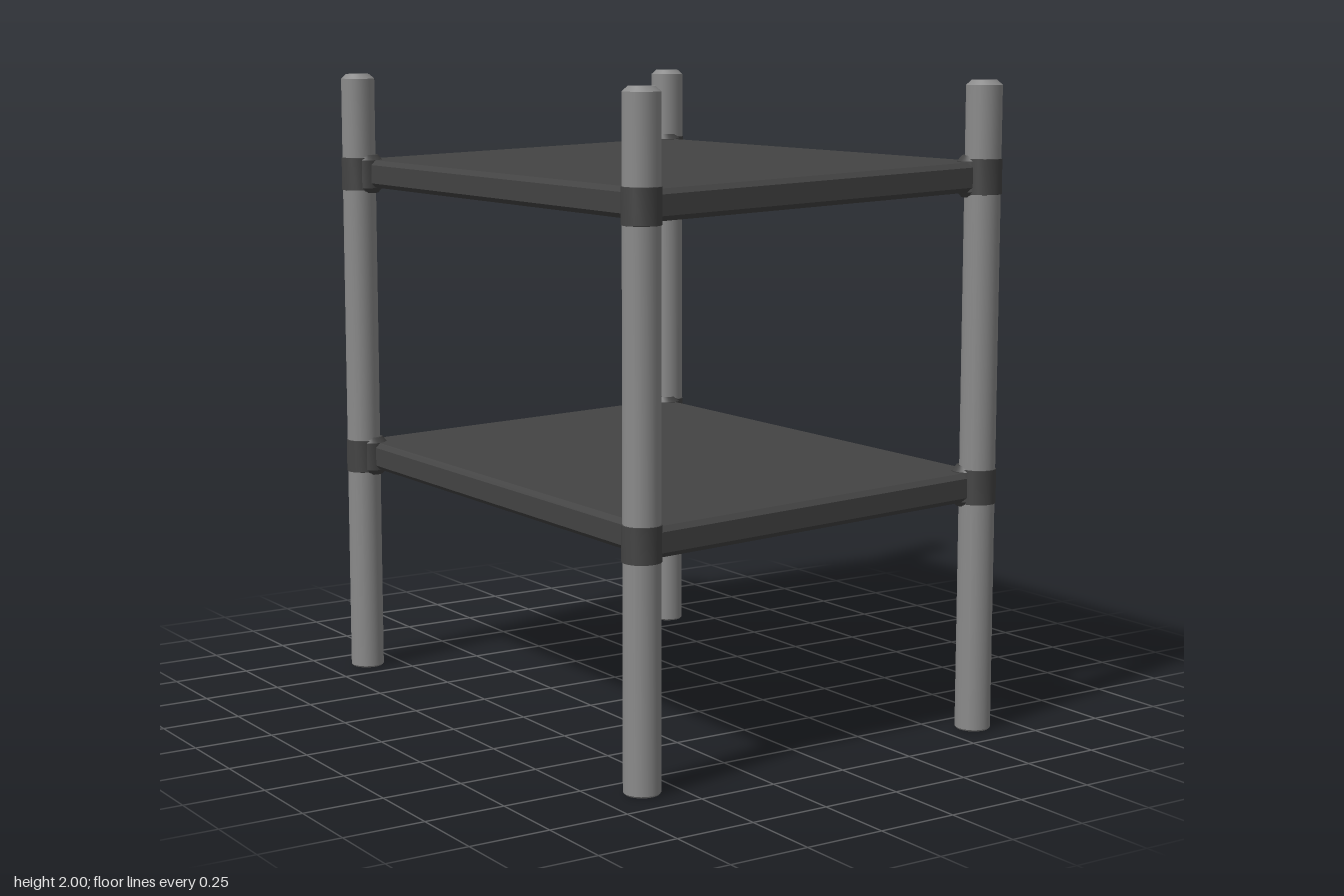
import * as THREE from 'three';
import { toCreasedNormals } from 'three/addons/utils/BufferGeometryUtils.js';

const SLOPE = 0.032; // shelves rise gently towards +x
const LEG_X = 0.612, LEG_Z = 0.862, LEG_R = 0.055;

// Shear a geometry so it follows the slope of the shelves
function tilt(geometry) {
  const p = geometry.attributes.position;
  for (let i = 0; i < p.count; i++) p.setY(i, p.getY(i) + SLOPE * p.getX(i));
  geometry.computeVertexNormals();
  return geometry;
}

// Solid of revolution from [radius, y] pairs, with sharp rims
function turned(profile) {
  const points = profile.map(([r, y]) => new THREE.Vector2(r, y));
  return toCreasedNormals(new THREE.LatheGeometry(points, 20), 0.5);
}

// Slightly tapered panel with chamfered edges, centred on y = 0
function shelfGeometry() {
  const c = 0.015;
  const shape = new THREE.Shape([
    [-0.602 + c, -0.9 + c], [0.621 - c, -0.88 + c],
    [0.621 - c, 0.88 - c], [-0.602 + c, 0.9 - c],
  ].map(([x, y]) => new THREE.Vector2(x, y)));
  const g = new THREE.ExtrudeGeometry(shape, {
    depth: 0.06, bevelEnabled: true, bevelSegments: 1, bevelSize: c, bevelThickness: c,
  });
  g.translate(0, 0, -0.03).rotateX(-Math.PI / 2);
  return toCreasedNormals(tilt(g), 0.4);
}

export function createModel() {
  const steel = new THREE.MeshStandardMaterial({ color: 0x8a8a8a });
  steel.name = 'grey steel';
  const dark = new THREE.MeshStandardMaterial({ color: 0x434343 });
  dark.name = 'dark grey';

  const group = new THREE.Group();
  group.name = 'shelfUnit';
  const add = (name, geometry, material, x, y, z) => {
    const mesh = new THREE.Mesh(geometry, material);
    mesh.name = name;
    mesh.position.set(x, y, z);
    group.add(mesh);
  };

  // Post with a chamfered top
  const leg = turned([
    [0, 0], [LEG_R - 0.004, 0], [LEG_R, 0.005], [LEG_R, 1.985], [0.038, 2], [0, 2],
  ]);
  // Band around each post, and the flared joint on its inner side
  const collar = turned([[0.05, -0.055], [0.058, -0.053], [0.058, 0.053], [0.05, 0.055]]);
  const joint = turned([[0, -0.063], [0.038, -0.063], [0.052, -0.046], [0.052, 0.046], [0.038, 0.063], [0, 0.063]]);
  const shelf = shelfGeometry();
  const levels = [['lower', 0.746], ['upper', 1.692]];

  for (const [level, y] of levels) add(level + 'Shelf', shelf, dark, 0, y, 0);

  for (const sx of [-1, 1]) {
    for (const sz of [-1, 1]) {
      const corner = (sz > 0 ? 'front' : 'back') + (sx > 0 ? 'Left' : 'Right');
      add(corner + 'Leg', leg, steel, sx * LEG_X, 0, sz * LEG_Z);
      for (const [level, y] of levels) {
        const h = y + SLOPE * sx * LEG_X;
        add(`${level}${corner}Collar`, collar, dark, sx * LEG_X, h, sz * LEG_Z);
        add(`${level}${corner}Joint`, joint, dark, sx * (LEG_X - 0.018), h, sz * (LEG_Z - 0.018));
      }
    }
  }
  return group;
}
